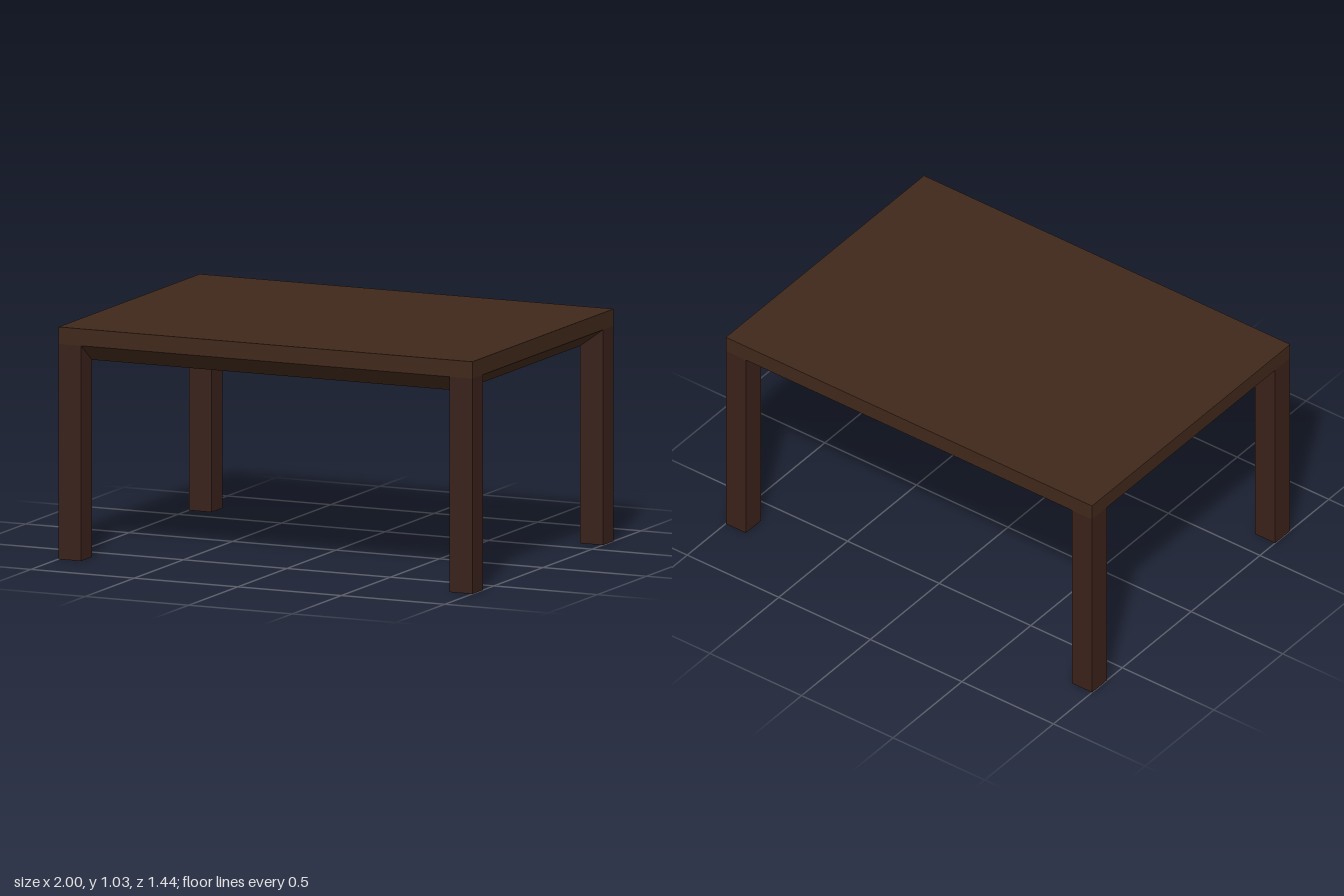
import * as THREE from 'three';

const WIDTH = 2, DEPTH = 1.44, HEIGHT = 1.03;
const RIM_BOTTOM = 0.955, BELLY_BOTTOM = 0.875, LEG = 0.11;

export function createModel() {
  const table = new THREE.Group();
  table.name = 'table';

  const topWood = new THREE.MeshStandardMaterial({ color: 0x40281a });
  const legWood = new THREE.MeshStandardMaterial({ color: 0x3a211a });

  function add(name, geometry, material, x, y, z) {
    const mesh = new THREE.Mesh(geometry, material);
    mesh.name = name;
    mesh.position.set(x, y, z);
    table.add(mesh);
  }

  // Flat slab whose edges are flush with the legs
  const slab = HEIGHT - RIM_BOTTOM;
  add('tableTop', new THREE.BoxGeometry(WIDTH, slab, DEPTH), topWood, 0, RIM_BOTTOM + slab / 2, 0);

  // Underside: a box whose bottom corners are drawn in, so the sides slope to the legs' inner corners
  const drop = RIM_BOTTOM - BELLY_BOTTOM;
  const belly = new THREE.BoxGeometry(WIDTH, drop, DEPTH);
  const p = belly.attributes.position;
  for (let i = 0; i < p.count; i++) {
    if (p.getY(i) > 0) continue;
    p.setX(i, p.getX(i) - Math.sign(p.getX(i)) * LEG);
    p.setZ(i, p.getZ(i) - Math.sign(p.getZ(i)) * LEG);
  }
  belly.computeVertexNormals();
  add('slopedUnderside', belly, topWood, 0, BELLY_BOTTOM + drop / 2, 0);

  // Four square legs at the corners
  const leg = new THREE.BoxGeometry(LEG, RIM_BOTTOM, LEG);
  for (const [sx, side] of [[1, 'Left'], [-1, 'Right']]) {
    for (const [sz, end] of [[1, 'front'], [-1, 'back']]) {
      add(`${end}${side}Leg`, leg, legWood,
        sx * (WIDTH - LEG) / 2, RIM_BOTTOM / 2, sz * (DEPTH - LEG) / 2);
    }
  }
  return table;
}
